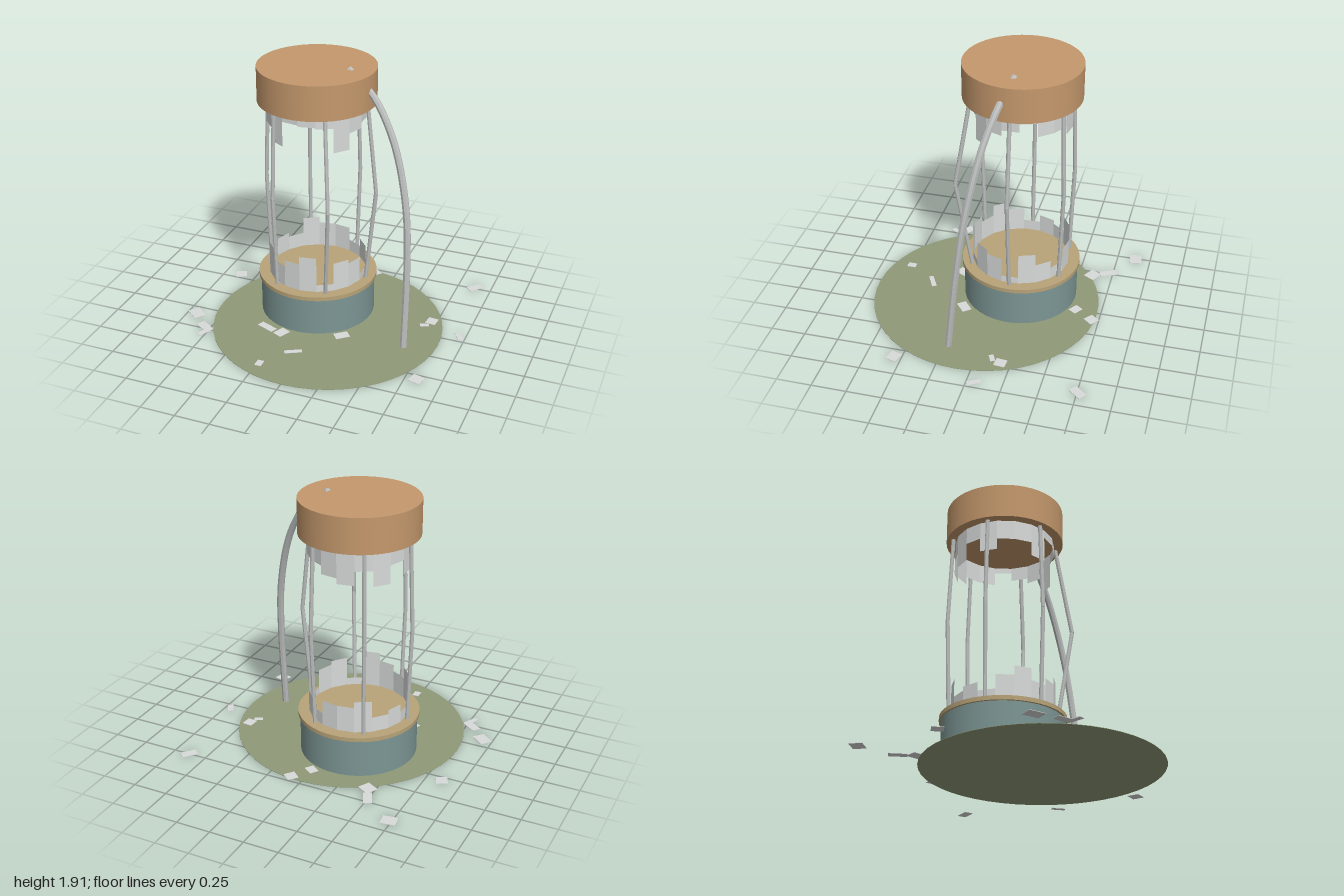
import * as THREE from 'three';
import { toCreasedNormals } from 'three/addons/utils/BufferGeometryUtils.js';

const CX = -0.15, CZ = -0.115; // tank axis
const GLASS_R = 0.352, PANELS = 18;

function material(name, color) {
  const m = new THREE.MeshStandardMaterial({ color });
  m.name = name;
  return m;
}

export function createModel() {
  const copper = material('copper', 0xc4986c);
  const teal = material('teal', 0x7c9694);
  const brass = material('brass', 0xb8a378);
  const moss = material('moss', 0x8f9a78);
  const metal = material('metal', 0xbabcbc);
  const glass = material('glass', 0xd8dada);
  glass.side = THREE.DoubleSide;

  const model = new THREE.Group();
  model.name = 'brokenTank';

  function add(name, geometry, mat, parent = model) {
    const mesh = new THREE.Mesh(geometry, mat);
    mesh.name = name;
    parent.add(mesh);
    return mesh;
  }
  function group(name) {
    const g = new THREE.Group();
    g.name = name;
    model.add(g);
    return g;
  }
  // Upright drum between two heights
  function drum(name, r, y0, y1, mat, x = CX, z = CZ) {
    const g = new THREE.CylinderGeometry(r, r, y1 - y0, 48);
    add(name, g, mat).position.set(x, (y0 + y1) / 2, z);
  }

  // Puddle, base, rim and cap
  drum('puddle', 0.83, 0, 0.003, moss, 0.015, 0.107);
  drum('base', 0.415, 0.001, 0.281, teal);
  drum('baseRim', 0.43, 0.281, 0.311, brass);
  drum('cap', 0.415, 1.641, 1.89, copper);

  // Bent cage rods, each a pair of straight faceted bars
  function bar(a, b, parent) {
    const dir = b.clone().sub(a);
    const g = new THREE.CylinderGeometry(0.015, 0.015, dir.length(), 8);
    const mesh = add('rodSection', toCreasedNormals(g, 0.5), metal, parent);
    mesh.position.copy(a).add(b).multiplyScalar(0.5);
    mesh.quaternion.setFromUnitVectors(new THREE.Vector3(0, 1, 0), dir.normalize());
  }
  const bows = [0.44, 0.486, 0.395, 0.395, 0.395, 0.395];
  bows.forEach((bow, i) => {
    const a = i * Math.PI / 3;
    const at = (r, y) => new THREE.Vector3(CX + r * Math.cos(a), y, CZ + r * Math.sin(a));
    const rod = group('cageRod');
    bar(at(0.37, 0.305), at(bow, 1.0), rod);
    bar(at(bow, 1.0), at(0.37, 1.65), rod);
  });

  // Hose through the cap, drooping to the ground
  const path = new THREE.CatmullRomCurve3([
    [0.08, 1.888, -0.115], [0.28, 1.745, -0.05], [0.41, 1.563, 0.005], [0.5, 1.355, 0.05],
    [0.585, 1.0, 0.11], [0.617, 0.6, 0.16], [0.627, 0.012, 0.22],
  ].map(p => new THREE.Vector3(...p)));
  add('hose', toCreasedNormals(new THREE.TubeGeometry(path, 32, 0.025, 8), 0.5), metal);
  for (const [t, flip] of [[0, -1], [1, 1]]) {
    const end = add('hoseEnd', new THREE.CircleGeometry(0.025, 8), metal);
    end.position.copy(path.getPointAt(t));
    end.quaternion.setFromUnitVectors(new THREE.Vector3(0, 0, 1),
      path.getTangentAt(t).multiplyScalar(flip));
  }

  // Jagged flat panes left standing on the rim and hanging from the cap
  const step = Math.PI * 2 / PANELS;
  function jaggedRing(name, edge, heights) {
    const ring = group(name);
    ring.position.set(CX, 0, CZ);
    heights.forEach((h, k) => {
      const g = new THREE.CylinderGeometry(GLASS_R, GLASS_R, Math.abs(h - edge), 1, 1, true, k * step, step);
      add('glassPanel', toCreasedNormals(g, 0.1), glass, ring).position.y = (h + edge) / 2;
    });
  }
  jaggedRing('lowerGlass', 0.31, [0.58, 0.365, 0.53, 0.5, 0.36, 0.55, 0.46, 0.4, 0.5,
    0.5, 0.545, 0.42, 0.45, 0.39, 0.49, 0.555, 0.47, 0.52]);
  jaggedRing('upperGlass', 1.645, [1.57, 1.56, 1.38, 1.5, 1.54, 1.6, 1.5, 1.5, 1.44,
    1.4, 1.5, 1.39, 1.52, 1.42, 1.5, 1.5, 1.4, 1.58]);

  // Shards on the ground: x, z, width, depth, turn in degrees
  const shards = group('groundShards');
  [
    [-0.735, -0.89, 0.105, 0.09, -8], [-0.5, -0.715, 0.125, 0.06, 65],
    [-0.45, -0.605, 0.1, 0.09, 30], [-0.865, -0.297, 0.08, 0.08, -25],
    [0.09, -0.697, 0.08, 0.08, 40], [0, -0.563, 0.08, 0.065, 35],
    [0.88, -0.755, 0.115, 0.065, -50], [0.715, -0.18, 0.075, 0.08, 5],
    [0.68, -0.11, 0.065, 0.035, -25], [0.955, -0.055, 0.1, 0.04, 60],
    [-0.927, 0.34, 0.12, 0.09, 40], [-0.79, 0.485, 0.13, 0.065, 35],
    [-0.765, 0.55, 0.105, 0.04, 115], [-0.37, 0.325, 0.14, 0.055, 22],
    [-0.245, 0.355, 0.075, 0.095, 25], [0.17, 0.235, 0.105, 0.07, -40],
    [-0.072, 0.55, 0.125, 0.035, -28], [-0.233, 0.765, 0.048, 0.065, 0],
    [0.832, 0.555, 0.09, 0.085, 15],
  ].forEach(([x, z, w, d, turn]) => {
    const shard = add('shard', new THREE.BoxGeometry(w, 0.003, d), glass, shards);
    shard.position.set(x, 0.006, z);
    shard.rotation.y = -turn * Math.PI / 180;
  });

  return model;
}
